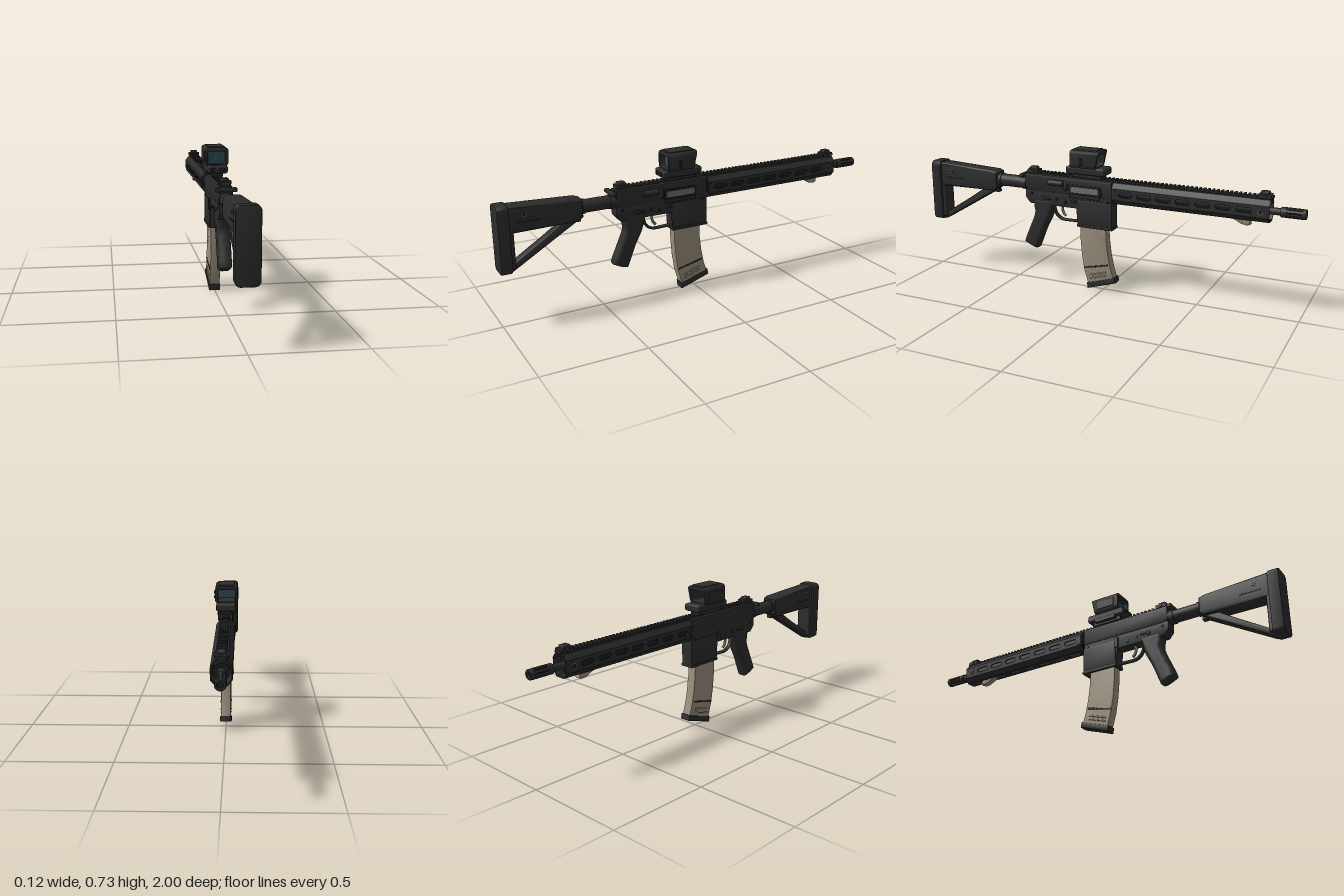
import * as THREE from 'three';
import { RoundedBoxGeometry } from 'three/addons/geometries/RoundedBoxGeometry.js';
import { toCreasedNormals } from 'three/addons/utils/BufferGeometryUtils.js';

const paint = (color) => new THREE.MeshStandardMaterial({ color });
const black = paint(0x2d2d2d), dark = paint(0x1c1c1c), tan = paint(0x9c917e);
const steel = paint(0x77736c), glass = paint(0x2c474d), dotPaint = paint(0xe030b0);
glass.side = dotPaint.side = THREE.DoubleSide;

export function createModel() {
  const root = new THREE.Group();
  const add = (name, geo, mat = black, x = 0, y = 0, z = 0) => {
    const m = new THREE.Mesh(geo, mat);
    m.name = name;
    m.position.set(x, y, z);
    root.add(m);
    return m;
  };
  // box given by its x centre, width and y / z ranges
  const box = (name, x, w, y0, y1, z0, z1, mat = black, r = 0.003) =>
    add(name, new RoundedBoxGeometry(w, y1 - y0, Math.abs(z1 - z0), 1, r), mat, x, (y0 + y1) / 2, (z0 + z1) / 2);
  // cylinder along z or x
  const rod = (name, r, z0, z1, y, mat = black, n = 24) =>
    add(name, new THREE.CylinderGeometry(r, r, Math.abs(z1 - z0), n).rotateX(Math.PI / 2), mat, 0, y, (z0 + z1) / 2);
  const pin = (name, r, w, x, y, z, mat = black) =>
    add(name, new THREE.CylinderGeometry(r, r, w, 16).rotateZ(Math.PI / 2), mat, x, y, z);
  // side outline of [z, y] points, extruded across x
  const side = (name, pts, w, bevel, mat = black, smooth = false, seg = 2) => {
    let v = pts.map(([z, y]) => new THREE.Vector2(-z, y));
    if (smooth) v = new THREE.SplineCurve([...v, v[0]]).getPoints(60).slice(0, -1);
    let g = new THREE.ExtrudeGeometry(new THREE.Shape(v), {
      depth: w - 2 * bevel, bevelSize: bevel, bevelOffset: -bevel, bevelThickness: bevel, bevelSegments: seg, curveSegments: 8,
    });
    g.translate(0, 0, bevel - w / 2).rotateY(Math.PI / 2);
    return add(name, toCreasedNormals(g, smooth ? 0.8 : 0.5), mat);
  };
  const roundRect = (P, x0, y0, x1, y1, r) => {
    const s = new P(), h = Math.PI / 2;
    s.absarc(x1 - r, y1 - r, r, 0, h).absarc(x0 + r, y1 - r, r, h, 2 * h);
    s.absarc(x0 + r, y0 + r, r, 2 * h, 3 * h).absarc(x1 - r, y0 + r, r, 3 * h, 4 * h);
    s.closePath();
    return s;
  };

  // Stock: pad, cheek body, strut and buffer tube
  const pad = new THREE.ExtrudeGeometry(roundRect(THREE.Shape, -0.052, 0.27, 0.052, 0.592, 0.024),
    { depth: 0.044, bevelSize: 0.006, bevelOffset: -0.006, bevelThickness: 0.006, bevelSegments: 2, curveSegments: 6 });
  add('buttPad', toCreasedNormals(pad, 0.6), black, 0, 0, 0.95);
  box('buttFrame', 0, 0.08, 0.285, 0.58, 0.925, 0.955, black, 0.01);
  side('stockBody', [[0.95, 0.586], [0.62, 0.571], [0.595, 0.562], [0.595, 0.48], [0.62, 0.462], [0.95, 0.458]], 0.084, 0.014, black, false, 3);
  side('stockStrut', [[0.95, 0.27], [0.94, 0.27], [0.7, 0.412], [0.61, 0.465], [0.61, 0.48], [0.69, 0.465], [0.78, 0.405], [0.93, 0.31], [0.95, 0.31]], 0.052, 0.008);
  box('releaseLever', 0, 0.03, 0.452, 0.466, 0.6, 0.68);
  rod('bufferTube', 0.032, 0.42, 0.62, 0.52);
  rod('castleNut', 0.036, 0.43, 0.455, 0.52, black, 12);
  rod('tubeCollar', 0.036, 0.58, 0.605, 0.52);
  for (const s of [-1, 1]) {
    pin('slingSocket', 0.012, 0.004, s * 0.0425, 0.545, 0.875, steel);
    pin('slingSocketHole', 0.009, 0.006, s * 0.0425, 0.545, 0.875, dark);
    box('stockGroove', s * 0.042, 0.003, 0.505, 0.511, 0.8, 0.91, dark, 0.001);
  }

  // Receiver
  side('upperReceiver', [[0.43, 0.577], [0.43, 0.5], [0.4, 0.487], [-0.06, 0.487], [-0.06, 0.577]], 0.068, 0.01);
  side('lowerReceiver', [[0.43, 0.495], [0.43, 0.45], [0.405, 0.42], [0.14, 0.42], [0.135, 0.332], [-0.055, 0.332], [-0.055, 0.495]], 0.06, 0.005);
  side('magazineWell', [[0.132, 0.47], [0.132, 0.33], [-0.06, 0.33], [-0.06, 0.47]], 0.068, 0.007);
  box('wellLip', 0, 0.073, 0.328, 0.342, -0.062, 0.134);
  box('chargingHandle', 0, 0.1, 0.555, 0.574, 0.432, 0.456, black, 0.005);
  box('chargingHandleShaft', 0, 0.03, 0.555, 0.576, 0.38, 0.44);
  box('portFrame', 0.034, 0.006, 0.493, 0.545, 0, 0.18, dark);
  box('bolt', 0.035, 0.008, 0.503, 0.535, 0.012, 0.168, steel);
  box('dustCover', 0.036, 0.008, 0.478, 0.494, 0.005, 0.175);
  box('shellDeflector', 0.038, 0.016, 0.51, 0.55, 0.185, 0.205, black, 0.006);
  const assist = rod('forwardAssist', 0.014, 0.21, 0.29, 0.543, black, 16);
  assist.position.x = 0.036;
  box('magazineRelease', 0.034, 0.012, 0.45, 0.465, 0.14, 0.165);
  box('boltCatch', -0.035, 0.01, 0.425, 0.48, 0.13, 0.15);
  for (const s of [-1, 1]) {
    for (const [z, y] of [[0.395, 0.475], [0.25, 0.455], [0.2, 0.445], [-0.035, 0.47]]) pin('receiverPin', 0.008, 0.005, s * 0.0315, y, z, dark);
    pin('selectorHub', 0.011, 0.008, s * 0.033, 0.455, 0.32);
    box('selectorLever', s * 0.036, 0.006, 0.451, 0.461, 0.28, 0.325);
  }

  // Grip, trigger and guard
  side('grip', [[0.265, 0.45], [0.277, 0.405], [0.295, 0.35], [0.33, 0.28], [0.362, 0.2], [0.378, 0.176], [0.435, 0.197],
    [0.446, 0.215], [0.415, 0.29], [0.385, 0.365], [0.388, 0.41], [0.38, 0.45]], 0.062, 0.02, black, true, 4);
  const path = (pts) => new THREE.CatmullRomCurve3(pts.map(([z, y]) => new THREE.Vector3(0, y, z)));
  add('triggerGuard', new THREE.TubeGeometry(path([[0.28, 0.415], [0.265, 0.372], [0.235, 0.35], [0.18, 0.347], [0.125, 0.35]]), 24, 0.007, 8).scale(1.8, 1, 1));
  add('trigger', new THREE.TubeGeometry(path([[0.225, 0.43], [0.232, 0.405], [0.225, 0.38], [0.212, 0.366]]), 16, 0.007, 8), steel);

  // Curved magazine with ribs and floor plate
  const front = [[-0.022, 0.35], [-0.025, 0.27], [-0.035, 0.19], [-0.05, 0.12], [-0.067, 0.066]];
  const rear = [[0.078, 0.026], [0.1, 0.1], [0.113, 0.18], [0.12, 0.26], [0.122, 0.35]];
  side('magazine', [...front, ...rear], 0.05, 0.005, tan);
  side('floorPlate', [[0.084, 0.03], [0.08, 0], [-0.076, 0.05], [-0.07, 0.078]], 0.057, 0.005);
  for (const s of [-1, 1]) {
    for (let i = 0; i < 9; i++) {
      const t = i / 8;
      const dot = box('magazineGrip', s * 0.0255, 0.004, -0.004, 0.004, -0.006, 0.006, dark, 0.001);
      dot.position.set(s * 0.0255, 0.112 + t * 0.028, 0.092 - t * 0.12);
      dot.rotation.x = 0.25;
    }
    for (const y of [0.07, 0.088]) {
      const rib = box('magazineRib', s * 0.025, 0.006, -0.004, 0.004, -0.05, 0.05, tan);
      rib.position.set(s * 0.025, y, 0.02);
      rib.rotation.x = 0.3;
    }
  }

  // Handguard: eight panels, slotted on the sides and below
  const z0 = -0.062, len = 0.778;
  const oct = [[0.024, 0.468], [0.045, 0.492], [0.045, 0.55], [0.026, 0.575], [-0.026, 0.575], [-0.045, 0.55], [-0.045, 0.492], [-0.024, 0.468]];
  oct.forEach(([x, y], i) => {
    const [x2, y2] = oct[(i + 1) % 8], w = Math.hypot(x2 - x, y2 - y);
    const shape = new THREE.Shape([[0, 0], [len, 0], [len, w], [0, w]].map((p) => new THREE.Vector2(...p)));
    if ([1, 5, 7].includes(i)) {
      for (let k = 0; k < 7; k++) shape.holes.push(roundRect(THREE.Path, 0.035 + k * 0.098, w / 2 - 0.012, 0.107 + k * 0.098, w / 2 + 0.012, 0.011));
    }
    const d = new THREE.Vector3((x2 - x) / w, (y2 - y) / w, 0), n = new THREE.Vector3(d.y, -d.x, 0);
    const g = new THREE.ExtrudeGeometry(shape, { depth: 0.006, bevelEnabled: false, curveSegments: 5 }).translate(0, 0, -0.006);
    g.applyMatrix4(new THREE.Matrix4().makeBasis(new THREE.Vector3(0, 0, -1), d, n));
    add('handguardPanel', g, black, x, y, z0);
  });
  rod('barrelNut', 0.036, z0, -0.81, 0.52, dark);
  for (const s of [-1, 1]) {
    pin('handguardSocket', 0.014, 0.004, s * 0.046, 0.52, -0.8, steel);
    pin('handguardSocketHole', 0.011, 0.006, s * 0.046, 0.52, -0.8, dark);
    box('handguardClamp', s * 0.044, 0.008, 0.495, 0.545, -0.065, -0.085);
  }
  side('handStop', [[-0.65, 0.468], [-0.67, 0.462], [-0.705, 0.443], [-0.735, 0.439], [-0.75, 0.446], [-0.745, 0.468]], 0.034, 0.007, tan);

  // Continuous top rail with teeth
  box('railBase', 0, 0.032, 0.57, 0.582, 0.42, -0.838);
  for (let z = 0.412; z > -0.835; z -= 0.0215) box('railTooth', 0, 0.042, 0.578, 0.59, z, z - 0.012, black, 0.002);

  // Folded sights at both ends of the rail
  for (const z of [0.39, -0.81]) {
    box('sightBase', 0, 0.052, 0.578, 0.598, z - 0.03, z + 0.03);
    box('sightLeaf', 0, 0.036, 0.592, 0.611, z - 0.02, z + 0.022, black, 0.006);
    pin('sightKnob', 0.009, 0.062, 0, 0.59, z);
  }

  // Barrel and slotted flash hider
  rod('barrel', 0.017, -0.8, -0.91, 0.52);
  rod('hiderBase', 0.024, -0.885, -0.91, 0.52);
  const ring = [[0.014, 0], [0.022, 0], [0.024, 0.003], [0.024, 0.02], [0.014, 0.02], [0.014, 0]].map((p) => new THREE.Vector2(...p));
  add('hiderRing', toCreasedNormals(new THREE.LatheGeometry(ring, 24).rotateX(Math.PI / 2), 0.5), black, 0, 0.52, -1);
  rod('hiderBore', 0.0125, -0.9, -0.985, 0.52, dark);
  for (let i = 0; i < 6; i++) {
    const a = (i + 0.5) * Math.PI / 3;
    const bar = box('hiderProng', 0, 0.01, -0.007, 0.007, -0.905, -0.985, black, 0.002);
    bar.position.set(Math.cos(a) * 0.019, 0.52 + Math.sin(a) * 0.019, -0.945);
    bar.rotation.z = a;
  }

  // Optic: mount, base, raked hood and window
  box('opticMount', 0, 0.056, 0.583, 0.61, 0.0, 0.16);
  box('opticBase', 0, 0.098, 0.602, 0.64, -0.024, 0.188, black, 0.01);
  box('mountClamp', -0.04, 0.02, 0.59, 0.61, 0.02, 0.14);
  const frame = roundRect(THREE.Shape, -0.057, 0.633, 0.055, 0.724, 0.018);
  frame.holes.push(roundRect(THREE.Path, -0.044, 0.644, 0.042, 0.704, 0.007));
  const hood = new THREE.ExtrudeGeometry(frame, { depth: 0.15, bevelSize: 0.004, bevelOffset: -0.004, bevelThickness: 0.004, bevelSegments: 2, curveSegments: 6 });
  const p = hood.attributes.position;
  for (let i = 0; i < p.count; i++) if (p.getZ(i) < 0.07) p.setZ(i, p.getZ(i) + (0.724 - p.getY(i)) * 0.22);
  hood.computeVertexNormals();
  add('opticHood', toCreasedNormals(hood, 0.6), black, 0, 0, 0.008);
  box('hoodTopPlate', 0, 0.08, 0.715, 0.728, 0.02, 0.15);
  box('hoodSidePlate', -0.057, 0.008, 0.655, 0.7, 0.04, 0.14);
  add('opticWindow', new THREE.PlaneGeometry(0.088, 0.062), glass, -0.001, 0.674, 0.135);
  add('aimingDot', new THREE.CircleGeometry(0.004, 12), dotPaint, -0.002, 0.674, 0.137);
  for (const s of [-1, 1]) box('opticButton', s * 0.022, 0.022, 0.612, 0.63, 0.18, 0.193, dark);
  for (const y of [0.656, 0.68]) pin('sideButton', 0.008, 0.012, 0.056, y, 0.1, dark);

  return root;
}
